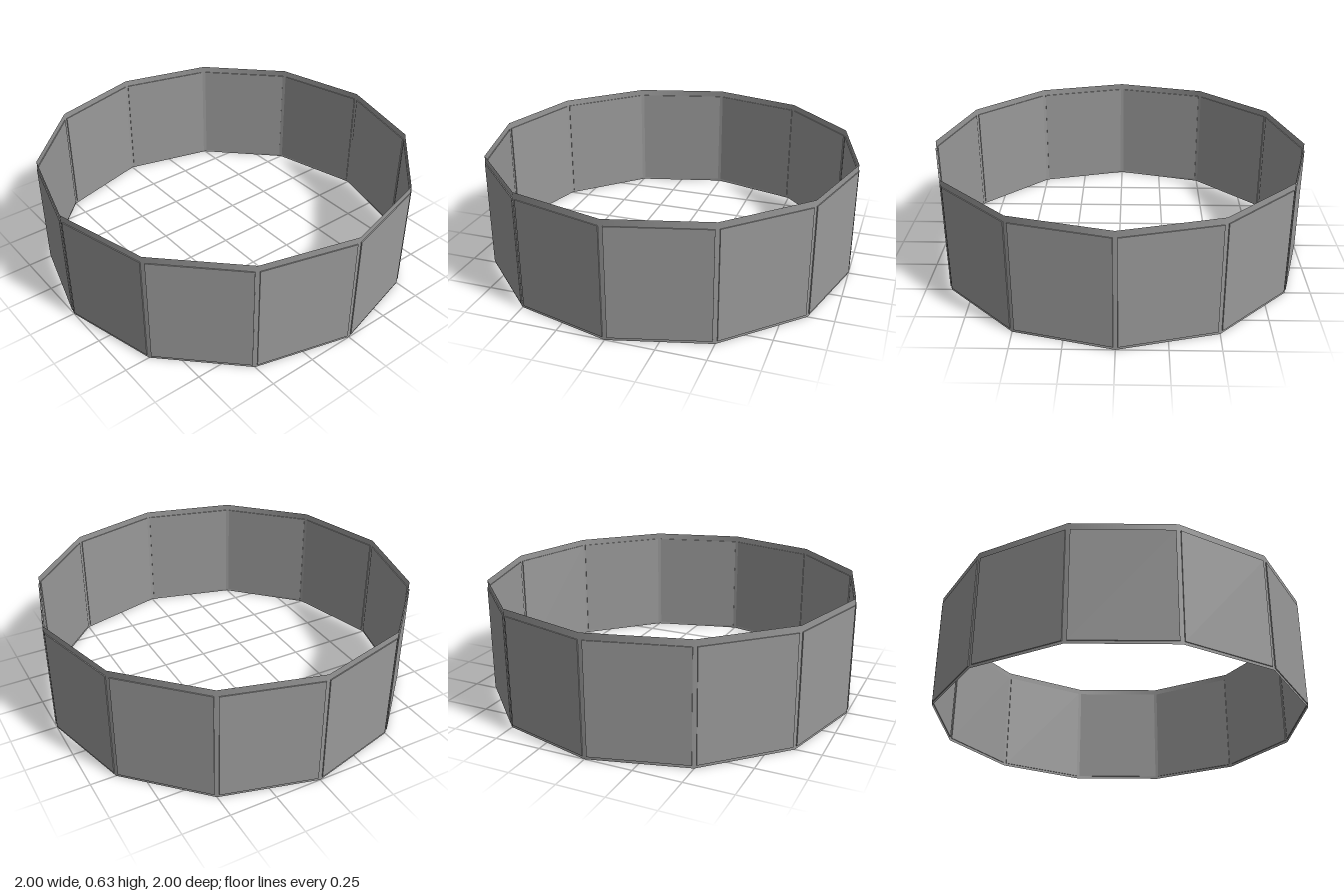
import * as THREE from 'three';

const SIDES = 12;
const RADIUS = 1;
const HEIGHT = 0.63;

export function createModel() {
  const group = new THREE.Group();
  group.name = 'panelledRing';

  const grey = new THREE.MeshStandardMaterial({ color: 0x999999, side: THREE.DoubleSide });
  grey.name = 'mid grey';

  // Thin open wall with smooth normals
  const wall = new THREE.Mesh(
    new THREE.CylinderGeometry(RADIUS, RADIUS, HEIGHT, SIDES, 1, true), grey);
  wall.name = 'wall';
  wall.position.y = HEIGHT / 2;
  group.add(wall);

  // One flat panel on each side, showing on both faces of the wall
  const apothem = RADIUS * Math.cos(Math.PI / SIDES);
  const sideLength = 2 * RADIUS * Math.sin(Math.PI / SIDES);
  const bottom = 0.015, top = 0.595;
  const panelGeometry = new THREE.BoxGeometry(sideLength - 0.022, top - bottom, 0.01);
  for (let i = 0; i < SIDES; i++) {
    const angle = ((i + 0.5) / SIDES) * Math.PI * 2;
    const panel = new THREE.Mesh(panelGeometry, grey);
    panel.name = `panel${i + 1}`;
    panel.position.set(Math.sin(angle) * apothem, (bottom + top) / 2, Math.cos(angle) * apothem);
    panel.rotation.y = angle;
    group.add(panel);
  }
  return group;
}
